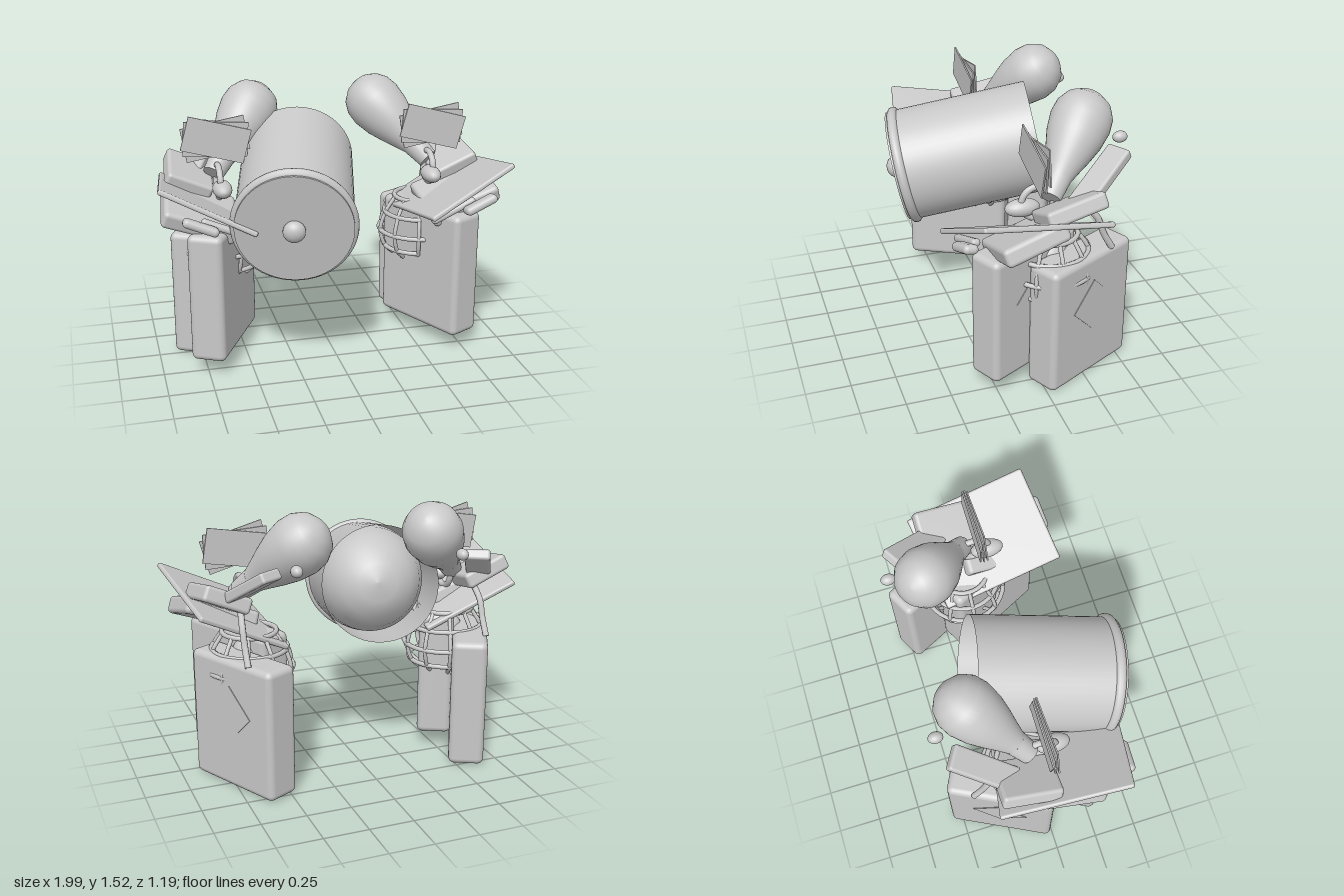
import * as THREE from 'three';
import { RoundedBoxGeometry } from 'three/addons/geometries/RoundedBoxGeometry.js';

const V = (x, y, z) => new THREE.Vector3(x, y, z);
const grey = new THREE.MeshStandardMaterial({ color: 0xc8c8c8, side: THREE.DoubleSide });
grey.name = 'plain grey';

export function createModel() {
  const model = new THREE.Group();
  model.name = 'luggageAndDrum';

  const add = (parent, name, geo, pos) => {
    const m = new THREE.Mesh(geo, grey);
    m.name = name;
    if (pos) m.position.copy(pos);
    parent.add(m);
    return m;
  };
  const box = (w, h, d, r) => new RoundedBoxGeometry(w, h, d, 3, r);
  // turn a mesh so its x axis follows xDir and its y axis lies near yHint
  const frame = (m, xDir, yHint) => {
    const x = xDir.clone().normalize();
    const z = x.clone().cross(yHint).normalize();
    m.quaternion.setFromRotationMatrix(new THREE.Matrix4().makeBasis(x, z.clone().cross(x), z));
    return m;
  };
  // turn a mesh so its y axis follows dir
  const aim = (m, dir) => {
    m.quaternion.setFromUnitVectors(V(0, 1, 0), dir.clone().normalize());
    return m;
  };
  const tube = (pts, r, n = 20) => new THREE.TubeGeometry(new THREE.CatmullRomCurve3(pts), n, r, 8);
  const lathe = (pts, n = 40) => new THREE.LatheGeometry(pts.map(p => new THREE.Vector2(p[0], p[1])), n);

  // one pile of cases; s = 1 is the left pile, -1 the right
  function pile(s) {
    const g = new THREE.Group();
    g.name = s > 0 ? 'leftPile' : 'rightPile';
    model.add(g);
    const P = (x, y, z) => V(s * x, y, z);

    // two upright cases with a diamond label on the outer face
    const out = P(0.891, 0, -0.454);
    [['rearCase', 0.685, 0.375, -0.25], ['frontCase', 0.622, 0.46, 0.05]].forEach(([name, x, y, z]) => {
      const c = P(x, y, z);
      frame(add(g, name, box(0.2, 0.74, 0.61, 0.035), c), out, V(0, 1, 0));
      const label = add(g, name + 'Label', new THREE.BoxGeometry(0.22, 0.22, 0.006),
        c.clone().addScaledVector(out, 0.101).add(V(0, 0.07, 0)));
      frame(label, P(-0.321, 0.707, -0.63), P(0.321, 0.707, 0.63));
    });

    // cage of rings and ribs around a round bulb
    const cx = 0.6, cz = -0.1;
    const profile = [[0.15, 0.835], [0.21, 0.74], [0.24, 0.63], [0.21, 0.53], [0.15, 0.475]];
    profile.forEach(([r, y], i) => {
      if (i === 4) return;
      add(g, 'cageRing', new THREE.TorusGeometry(r, 0.014, 8, 36), P(cx, y, cz)).rotation.x = Math.PI / 2;
    });
    for (let i = 0; i < 10; i++) {
      const a = i * Math.PI / 5;
      add(g, 'cageRib', tube(profile.map(([r, y]) => P(cx + r * Math.cos(a), y, cz + r * Math.sin(a))), 0.012));
    }
    add(g, 'cageBulb', new THREE.SphereGeometry(0.1, 24, 16), P(cx, 0.7, cz));

    // wide tilted board with two bars below its front edge
    const across = P(0.5, 0.25, -0.09);
    const up = P(-0.189, 0.363, -0.043);
    frame(add(g, 'tiltedBoard', box(0.57, 0.03, 0.73, 0.012), P(0.705, 0.94, 0.07)), across, up);
    frame(add(g, 'outerBar', box(0.2, 0.05, 0.08, 0.024), P(0.78, 0.925, 0.42)), P(0.9, 0.36, -0.1), up);
    frame(add(g, 'innerBar', box(0.28, 0.04, 0.05, 0.019), P(0.64, 0.885, 0.37)), P(0.9, 0.36, -0.1), up);

    // small cases above and below the board
    frame(add(g, 'upperCase', box(0.27, 0.09, 0.33, 0.02), P(0.775, 1.05, -0.14)), P(0.24, 0.104, 0), P(-0.38, 0.9, 0.22));
    const low = V(0, 1, 0.28);
    frame(add(g, 'lowerCase', box(0.42, 0.1, 0.36, 0.025), P(0.75, 0.9, 0.09)), P(0.92, 0.33, 0), low);
    frame(add(g, 'lowerCaseLabel', new THREE.BoxGeometry(0.12, 0.006, 0.12), P(0.79, 0.862, 0.06)), P(0.92, 0.33, 0.3), low);

    // slat leaning out behind, with a pebble near its end
    frame(add(g, 'slat', box(0.14, 0.06, 0.4, 0.015), P(0.67, 1.15, -0.345)), P(0.29, 0, -0.17), P(0.18, 0.9, 0.5));
    const pebble = add(g, 'pebble', new THREE.SphereGeometry(0.04, 16, 12), P(0.467, 1.27, -0.54));
    pebble.scale.set(0.8, 0.8, 1.05);

    // strap down to the rear case
    add(g, 'strap', tube([P(0.69, 1.0, -0.27), P(0.7, 0.93, -0.33), P(0.7, 0.83, -0.37), P(0.7, 0.74, -0.42)], 0.018));

    // pear-shaped head with a collar
    const tip = P(-0.54, 0.62, -0.56);
    const neck = P(0.64, 1.06, -0.08);
    const pear = lathe([[0, 0], [0.055, 0], [0.065, 0.1], [0.092, 0.18], [0.125, 0.27], [0.153, 0.36],
      [0.168, 0.46], [0.16, 0.53], [0.128, 0.59], [0.075, 0.63], [0.03, 0.644], [0, 0.647]]);
    aim(add(g, 'pearHead', pear, neck), tip);
    aim(add(g, 'collar', new THREE.CylinderGeometry(0.072, 0.06, 0.12, 28),
      neck.clone().addScaledVector(tip, 0.06)), tip);

    // carrying ring and knob under the head
    add(g, 'carryRing', new THREE.TorusGeometry(0.09, 0.018, 10, 32), P(0.62, 1.035, -0.02)).rotation.y = Math.PI / 2;
    add(g, 'knob', new THREE.SphereGeometry(0.06, 20, 14), P(0.61, 1.01, 0.06)).scale.set(0.9, 0.8, 1.6);

    // fan of three cards
    [-0.27, -0.06, 0.17].forEach((a, i) => {
      add(g, 'card', new THREE.BoxGeometry(0.36, 0.195, 0.008), V(s * 0.63, 1.28, 0.016 - i * 0.016)).rotation.z = a;
    });
  }
  pile(1);
  pile(-1);

  // drum leaning back: closed front, open rear with a dome inside
  const drum = new THREE.Group();
  drum.name = 'drum';
  drum.position.set(-0.29, 0.91, 0.47);
  aim(drum, V(0.23, 0.205, -0.95));
  model.add(drum);
  add(drum, 'drumShell', new THREE.CylinderGeometry(0.325, 0.325, 0.78, 56, 1, true), V(0, 0.39, 0));
  add(drum, 'drumDome', lathe([[0.318, 0.02], [0.318, 0.3], [0.305, 0.42], [0.265, 0.54],
    [0.2, 0.63], [0.11, 0.685], [0, 0.7]], 56));
  add(drum, 'drumFace', new THREE.CylinderGeometry(0.32, 0.32, 0.05, 56), V(0, -0.015, 0));
  add(drum, 'drumRim', new THREE.TorusGeometry(0.315, 0.03, 12, 56)).rotation.x = Math.PI / 2;
  add(drum, 'drumKnob', new THREE.SphereGeometry(0.062, 20, 14), V(0, -0.06, 0)).scale.y = 0.8;

  return model;
}
